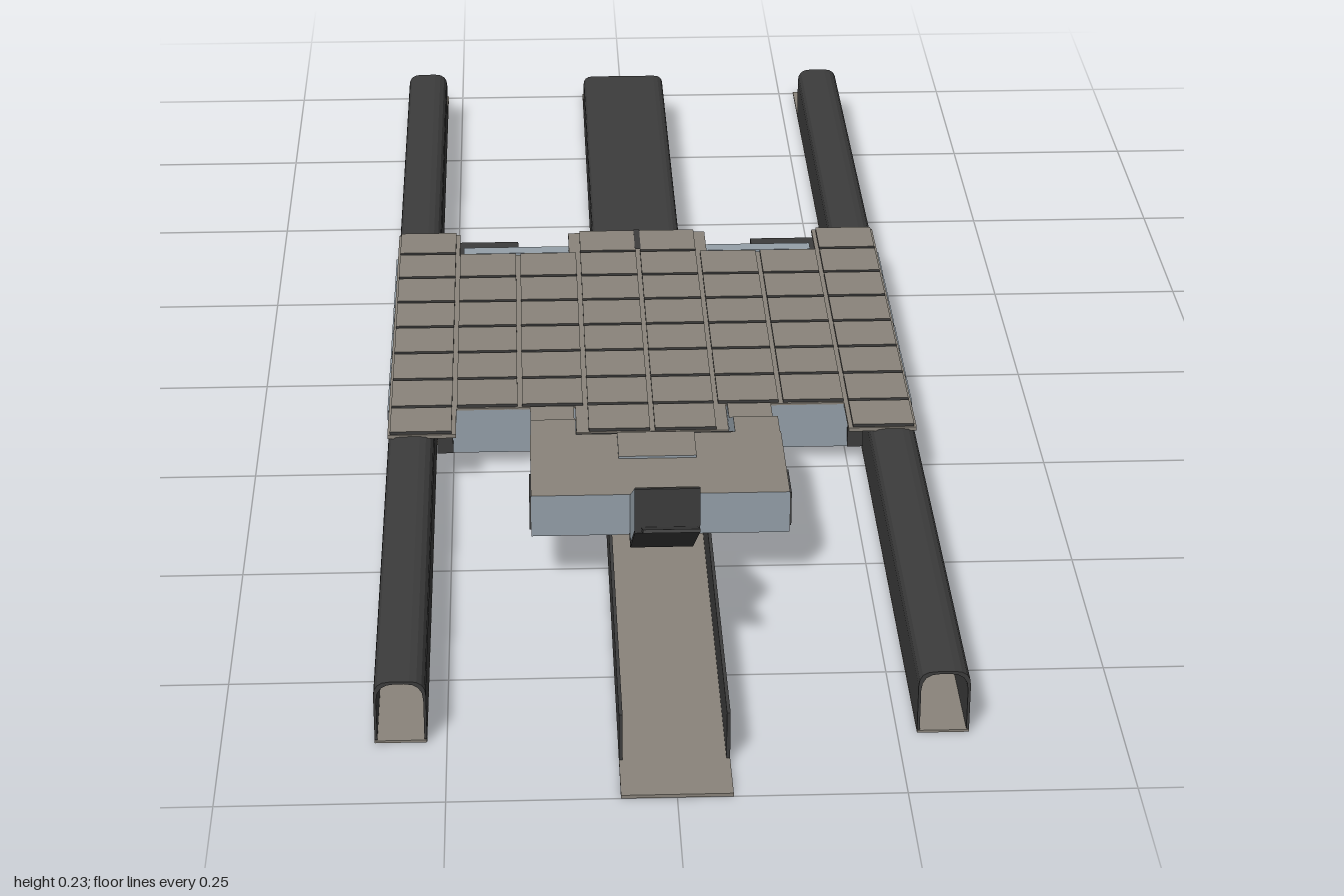
import * as THREE from 'three';

const mat = (name, color, side = THREE.FrontSide) => {
  const m = new THREE.MeshStandardMaterial({ color, side });
  m.name = name;
  return m;
};

export function createModel() {
  const warm = mat('warm grey plating', 0x8a847b);
  const blue = mat('blue grey metal', 0x95a0a9);
  const dark = mat('charcoal', 0x3c3c3c);
  const black = mat('black underside', 0x262626);
  const yellow = mat('yellow marking', 0xb8a020);
  const root = new THREE.Group();
  root.name = 'railPlatform';

  const add = (name, geo, material) => {
    const m = new THREE.Mesh(geo, material);
    m.name = name;
    root.add(m);
    return m;
  };
  // box given by its limits on each axis
  const box = (name, [x0, x1], [y0, y1], [z0, z1], material) => {
    const g = new THREE.BoxGeometry(x1 - x0, y1 - y0, z1 - z0);
    g.translate((x0 + x1) / 2, (y0 + y1) / 2, (z0 + z1) / 2);
    return add(name, g, material);
  };
  // box mirrored to both sides
  const pair = (name, [x0, x1], y, z, material) => {
    box(name + 'Left', [x0, x1], y, z, material);
    box(name + 'Right', [-x1, -x0], y, z, material);
  };
  // face order: +x, -x, top, bottom, +z, -z
  const faces = (side, top, bottom) => [side, side, top, bottom, side, side];
  // prism from a (z, y) outline, running across x
  const prism = (name, pts, [x0, x1], material) => {
    const shape = new THREE.Shape(pts.map((p) => new THREE.Vector2(...p)));
    const g = new THREE.ExtrudeGeometry(shape, { depth: x1 - x0, bevelEnabled: false });
    g.rotateY(-Math.PI / 2);
    g.translate(x1, 0, 0);
    return add(name, g, material);
  };
  // hollow rail cover, open below
  const cover = (name, x, half, top, r, [z0, z1]) => {
    const t = 0.003, b = 0.004, h = half - t, k = r + 0.003, y = top - t;
    const s = new THREE.Shape();
    s.moveTo(-half, b);
    s.lineTo(-h, b);
    s.lineTo(-h, y - k);
    s.quadraticCurveTo(-h, y, -h + k, y);
    s.lineTo(h - k, y);
    s.quadraticCurveTo(h, y, h, y - k);
    s.lineTo(h, b);
    s.lineTo(half, b);
    s.lineTo(half, top - r);
    s.quadraticCurveTo(half, top, half - r, top);
    s.lineTo(-half + r, top);
    s.quadraticCurveTo(-half, top, -half, top - r);
    s.closePath();
    const g = new THREE.ExtrudeGeometry(s, { depth: z1 - z0, bevelEnabled: false, curveSegments: 4 });
    g.translate(x, 0, z0);
    add(name, g, dark);
  };

  // Rails and their floor strips
  for (const s of [-1, 1]) {
    cover('sideRail', s * 0.301, 0.029, 0.0785, 0.018, [-0.905, 0.88]);
    box('sideRailFloor', [s * 0.301 - 0.029, s * 0.301 + 0.029], [0, 0.003], [-1, 0.88], warm);
    box('openRailWall', [s * 0.059 - 0.002, s * 0.059 + 0.002], [0.003, 0.062], [0.4, 0.93], dark);
  }
  cover('centreRail', 0, 0.061, 0.072, 0.014, [-0.905, 0.4]);
  box('centreRailFloor', [-0.061, 0.061], [0, 0.004], [-1, 1], warm);

  // Platform body between the rails
  pair('body', [0.064, 0.25], [0.018, 0.078], [-0.23, 0.23], faces(blue, blue, black));
  pair('bodyEdge', [0.25, 0.27], [0.02, 0.077], [-0.235, 0.235], dark);
  pair('underStripe', [0.07, 0.077], [0.015, 0.018], [-0.23, 0.23], yellow);
  pair('innerPost', [0.064, 0.08], [0.018, 0.076], [-0.29, 0.29], dark);
  pair('innerFlange', [0.08, 0.09], [0.018, 0.076], [-0.28, 0.28], blue);

  // Deck sheet with notched ends, and raised tiles
  box('deckSheet', [-0.33, 0.33], [0.0775, 0.0805], [-0.23, 0.23], warm);
  for (const [z0, z1] of [[-0.3, -0.23], [0.23, 0.3]]) {
    box('deckTab', [-0.095, 0.095], [0.073, 0.0805], [z0, z1], warm);
    pair('deckCorner', [0.245, 0.33], [0.0755, 0.0805], [z0, z1], warm);
  }
  const px = 0.0825, pz = 0.0767, tileFaces = faces(dark, warm, dark);
  for (let i = 0; i < 8; i++) {
    const x = (i - 3.5) * px;
    const tabbed = [0, 3, 4, 7].includes(i);
    for (let j = tabbed ? -1 : 0; j < (tabbed ? 7 : 6); j++) {
      const z = (j - 2.5) * pz;
      const zz = [Math.max(z - pz / 2 + 0.003, -0.298), Math.min(z + pz / 2 - 0.003, 0.298)];
      box('deckTile', [x - px / 2 + 0.003, x + px / 2 - 0.003], [0.0805, 0.0845], zz, tileFaces);
    }
  }
  box('deckSlot', [-0.004, 0.004], [0.0845, 0.085], [-0.3, -0.235], dark);

  // Side panels over the outer rails
  for (let j = 0; j < 6; j++) {
    const z = (j - 2.5) * pz;
    pair('sidePanel', [0.327, 0.332], [0.014, 0.078], [z - pz / 2 + 0.003, z + pz / 2 - 0.003], blue);
  }
  pair('sidePanelBacking', [0.326, 0.3305], [0.012, 0.078], [-0.232, 0.232], dark);

  // Rear crossbars and steps
  pair('rearBar', [0.09, 0.24], [0.035, 0.072], [-0.275, -0.255], blue);
  pair('rearStep', [0.165, 0.258], [0.018, 0.032], [-0.38, -0.23], dark);

  // Front hub on two sloping brackets
  for (const x of [[0.097, 0.152], [-0.152, -0.097]]) {
    prism('hubBracket', [[0.23, 0.066], [0.392, 0.07], [0.392, 0.125], [0.35, 0.125], [0.27, 0.082], [0.23, 0.082]], x, [blue, warm]);
  }
  pair('frontFoot', [0.09, 0.152], [0.018, 0.07], [0.34, 0.39], dark);
  box('hubRecess', [-0.097, 0.097], [0.073, 0.1], [0.34, 0.392], dark);
  box('hub', [-0.153, 0.153], [0.071, 0.125], [0.39, 0.545], faces(blue, warm, black));
  box('hubHatch', [-0.047, 0.047], [0.125, 0.128], [0.392, 0.455], faces(blue, warm, blue));
  pair('hubSideInset', [0.153, 0.155], [0.08, 0.124], [0.488, 0.545], dark);

  // Raised loading arm with a dark underside and a tip flap
  prism('loadingArm', [[0.54, 0.072], [0.575, 0.076], [0.727, 0.178], [0.727, 0.233], [0.54, 0.122]], [-0.036, 0.036], [blue, warm]);
  prism('armUnderside', [[0.545, 0.069], [0.578, 0.072], [0.73, 0.176], [0.73, 0.232], [0.727, 0.232], [0.727, 0.178], [0.575, 0.076], [0.545, 0.073]], [-0.037, 0.037], dark);
  prism('armFlap', [[0.727, 0.178], [0.795, 0.212], [0.794, 0.216], [0.727, 0.182]], [-0.03, 0.034], dark);

  return root;
}
